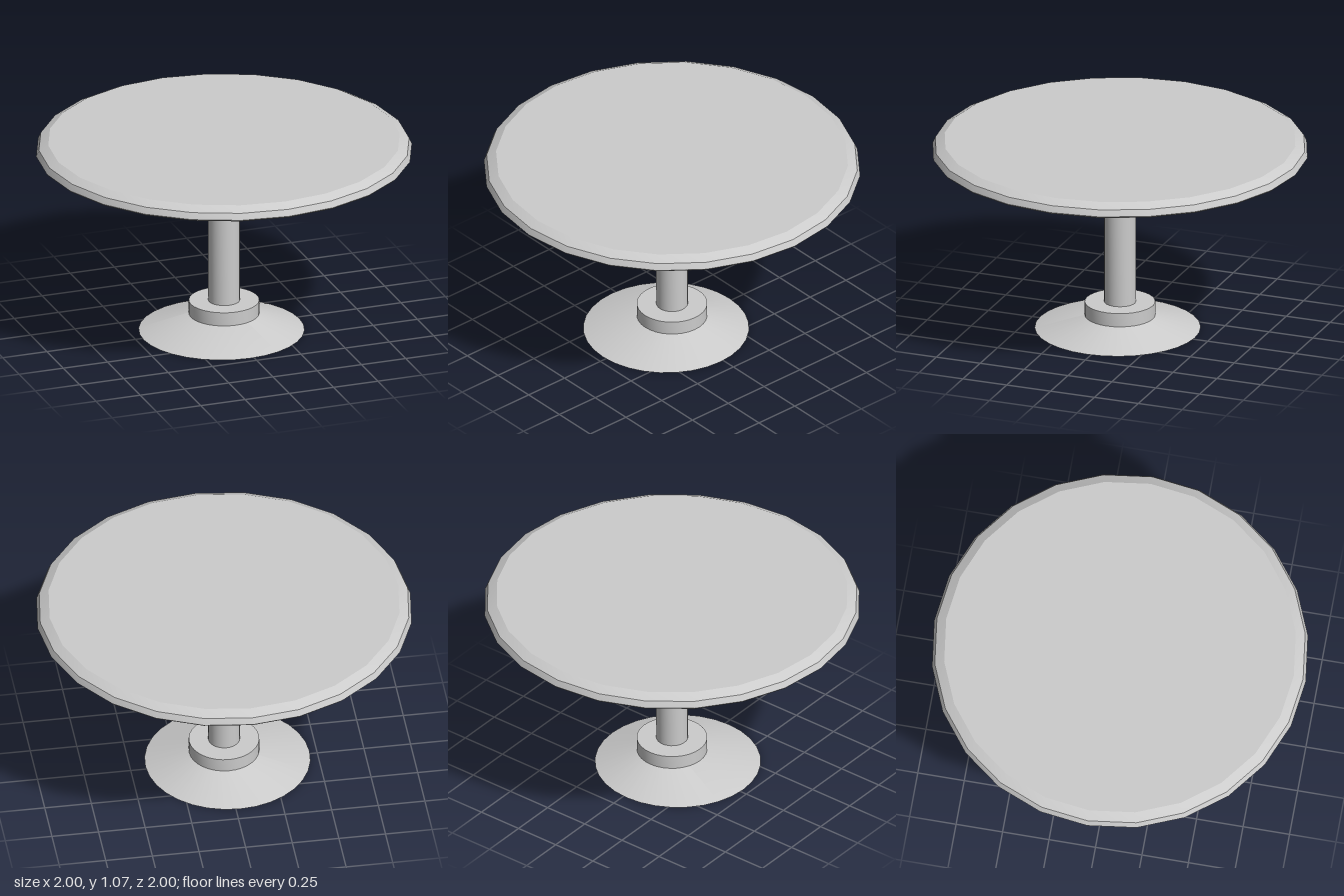
import * as THREE from 'three';
import { toCreasedNormals } from 'three/addons/utils/BufferGeometryUtils.js';

const material = new THREE.MeshStandardMaterial({ color: 0xcccccc });

// Turned solid from [radius, height] pairs, bottom to top, closed on the axis.
function turned(profile, sides) {
  const first = profile[0], last = profile[profile.length - 1];
  const points = [[0, first[1]], ...profile, [0, last[1]]];
  return new THREE.LatheGeometry(points.map(([r, y]) => new THREE.Vector2(r, y)), sides);
}

export function createModel() {
  const table = new THREE.Group();
  table.name = 'pedestalTable';

  function addPart(name, geometry) {
    const mesh = new THREE.Mesh(toCreasedNormals(geometry, 0.3), material);
    mesh.name = name;
    table.add(mesh);
  }

  // Round top with a bevelled rim
  addPart('tableTop', turned([[0.992, 1.003], [1, 1.012], [0.985, 1.046], [0.935, 1.072]], 24));

  // Conical support under the top
  addPart('topSupport', turned([[0.25, 0.89], [0.46, 1.003]], 32));

  // Column, flared where it meets the support
  addPart('column', turned([[0.084, 0.155], [0.084, 0.76], [0.128, 0.89]], 32));

  // Collar at the foot of the column
  addPart('collar', turned([[0.187, 0.08], [0.187, 0.157]], 32));

  // Flared foot whose lower rim sits slightly off centre
  const foot = turned([[0.44, 0], [0.187, 0.082]], 32);
  const pos = foot.attributes.position;
  for (let i = 0; i < pos.count; i++) {
    if (pos.getY(i) < 0.01) {
      pos.setX(i, pos.getX(i) - 0.022);
      pos.setZ(i, pos.getZ(i) + 0.022);
    }
  }
  addPart('foot', foot);

  return table;
}
